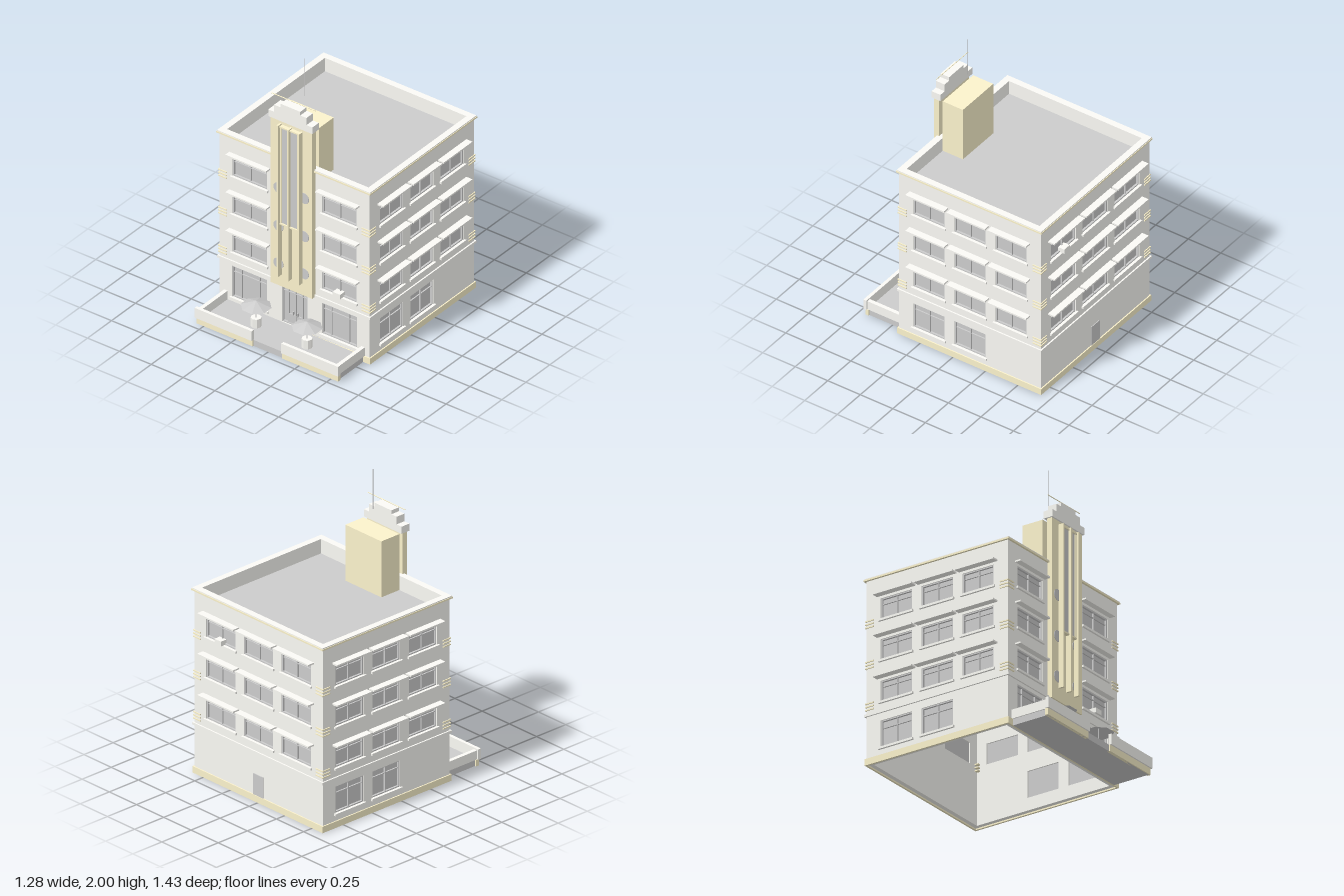
import * as THREE from 'three';

const grey = new THREE.MeshStandardMaterial({ color: 0xcccccc, flatShading: true });
const plaster = new THREE.MeshStandardMaterial({ color: 0xfbfaf5, flatShading: true });
const cream = new THREE.MeshStandardMaterial({ color: 0xfbf2cc, flatShading: true });

const W = 0.59, D = 0.545, T = 0.035;      // half width, half depth, wall thickness
const FLOORS = [0.415, 0.703, 0.985];      // sill heights of the upper floors

function add(parent, name, geometry, material) {
  const m = new THREE.Mesh(geometry, material);
  m.name = name;
  parent.add(m);
  return m;
}

// Box given by its lower and upper limits on each axis
function box(parent, name, x0, x1, y0, y1, z0, z1, material) {
  const m = add(parent, name, new THREE.BoxGeometry(x1 - x0, y1 - y0, z1 - z0), material);
  m.position.set((x0 + x1) / 2, (y0 + y1) / 2, (z0 + z1) / 2);
  return m;
}

function rod(parent, name, rTop, rBottom, h, x, y, z, sides, material) {
  const m = add(parent, name, new THREE.CylinderGeometry(rTop, rBottom, h, sides), material);
  m.position.set(x, y, z);
  return m;
}

function rect(path, x0, x1, y0, y1) {
  path.moveTo(x0, y0);
  path.lineTo(x1, y0);
  path.lineTo(x1, y1);
  path.lineTo(x0, y1);
  path.closePath();
  return path;
}

// Horizontal ring following the outside of the house
function ring(parent, name, out, inset, y0, y1, material) {
  const s = rect(new THREE.Shape(), -W - out, W + out, -D - out, D + out);
  s.holes.push(rect(new THREE.Path(), -W + inset, W - inset, -D + inset, D - inset));
  const g = new THREE.ExtrudeGeometry(s, { depth: y1 - y0, bevelEnabled: false });
  g.rotateX(-Math.PI / 2);
  add(parent, name, g, material).position.y = y0;
}

// Glass and frame filling one opening; cols and bar give the panes
function windowUnit(parent, o) {
  const g = new THREE.Group();
  g.name = o.door ? 'entrance' : 'window';
  parent.add(g);
  const { x, w, y, h } = o, f = 0.008, x0 = x - w / 2, x1 = x + w / 2;
  box(g, 'glass', x0, x1, y, y + h, -0.026, -0.02, grey);
  const s = rect(new THREE.Shape(), x0, x1, y, y + h);
  s.holes.push(rect(new THREE.Path(), x0 + f, x1 - f, y + f, y + h - f));
  add(g, 'frame', new THREE.ExtrudeGeometry(s, { depth: 0.014, bevelEnabled: false }), grey).position.z = -0.02;
  for (const c of o.cols ?? [0]) box(g, 'mullion', x + c - 0.003, x + c + 0.003, y, y + h, -0.02, -0.01, grey);
  const bar = y + h * (o.bar ?? 0.72);
  box(g, 'transom', x0, x1, bar - 0.003, bar + 0.003, -0.02, -0.011, grey);
  if (!o.door) box(g, 'sill', x0 - 0.012, x1 + 0.012, y - 0.015, y, -0.01, 0.014, plaster);
  if (o.awning) box(g, 'canopy', x - o.awning / 2, x + o.awning / 2, y + h + 0.017, y + h + 0.028, -0.01, o.reach, plaster);
}

// Wall with openings, its outer face on local z = 0
function facade(parent, name, angle, half, distance, openings) {
  const g = new THREE.Group();
  g.name = name;
  g.rotation.y = angle;
  g.position.set(Math.sin(angle) * distance, 0, Math.cos(angle) * distance);
  parent.add(g);
  const s = rect(new THREE.Shape(), -half, half, 0.01, 1.275);
  for (const o of openings) {
    s.holes.push(rect(new THREE.Path(), o.x - o.w / 2, o.x + o.w / 2, o.y, o.y + o.h));
    windowUnit(g, o);
  }
  add(g, 'wall', new THREE.ExtrudeGeometry(s, { depth: T, bevelEnabled: false }), plaster).position.z = -T;
  return g;
}

const rows = (xs, w, awning, reach) =>
  FLOORS.flatMap(y => xs.map(x => ({ x, w, y, h: 0.143, awning, reach })));

function airConditioner(parent, x, y) {
  box(parent, 'airConditioner', x - 0.03, x + 0.03, y, y + 0.033, -0.02, 0.028, plaster);
}

function buildHouse(root) {
  const house = new THREE.Group();
  house.name = 'house';
  house.position.z = -0.125;
  root.add(house);

  const shop = [-0.352, 0.352].map(x => ({ x, w: 0.275, y: 0.08, h: 0.23, cols: [-0.07, 0.07], bar: 0.8 }));
  const entrance = { x: 0, w: 0.2, y: 0.047, h: 0.28, cols: [-0.055, 0, 0.055], bar: 0.84, door: true };
  const front = facade(house, 'frontFacade', 0, W, D, [...rows([-0.352, 0.352], 0.27, 0.32, 0.042), ...shop, entrance]);
  for (const x of [-0.028, 0.028]) box(front, 'doorLeaf', x - 0.023, x + 0.023, 0.05, 0.12, -0.02, -0.012, grey);
  for (const x of [-0.018, 0.018]) box(front, 'doorHandle', x - 0.003, x + 0.003, 0.12, 0.145, -0.02, -0.005, grey);
  airConditioner(front, 0.35, 0.415);

  const back = facade(house, 'backFacade', Math.PI, W, D, rows([-0.345, 0, 0.345], 0.27, 0.33, 0.05));
  airConditioner(back, -0.345, 0.985);
  box(back, 'backDoor', -0.045, 0.045, 0.045, 0.19, -0.01, 0.005, grey);

  for (const side of [1, -1]) {
    facade(house, side > 0 ? 'leftFacade' : 'rightFacade', side * Math.PI / 2, D - T, W, [
      ...rows([-0.315, 0, 0.315], 0.24, 0.297, 0.048),
      ...[-0.315, 0].map(x => ({ x, w: 0.24, y: 0.098, h: 0.185 })),
    ]);
  }

  // Bands round the house, parapet cap and roof
  ring(house, 'plinth', 0.008, 0.005, 0, 0.045, cream);
  ring(house, 'stringCourse', 0.01, 0.01, 0.335, 0.352, plaster);
  ring(house, 'parapetTrim', 0.014, 0.01, 1.272, 1.283, cream);
  ring(house, 'parapetCap', 0.01, T, 1.275, 1.29, plaster);
  box(house, 'roof', -W + T, W - T, 1.17, 1.19, -D + T, D - T, grey);

  // Three thin stripes wrapped round each corner at every upper floor
  for (const y of FLOORS) for (const dy of [-0.034, -0.012, 0.01])
    for (const sx of [-1, 1]) for (const sz of [-1, 1]) {
      const m = add(house, 'cornerStripe', new THREE.BoxGeometry(0.066, 0.008, 0.066), cream);
      m.position.set(sx * (W - 0.027), y + dy, sz * (D - 0.027));
    }
}

function buildTower(root) {
  const tower = new THREE.Group();
  tower.name = 'tower';
  root.add(tower);
  box(tower, 'towerSlab', -0.163, 0.163, 0.335, 1.58, 0.415, 0.453, cream);
  box(tower, 'stairHouse', -0.165, 0.165, 1.18, 1.58, 0.23, 0.385, cream);

  // Stepped crown
  const half = [0.173, 0.127, 0.078], ys = [1.58, 1.63, 1.683, 1.71];
  half.forEach((w, i) => box(tower, 'crownStep', -w, w, ys[i], ys[i + 1], 0.397, 0.464, plaster));

  // Tall stair window with a projecting surround, and vertical fins
  for (const s of [-1, 1]) box(tower, 'windowJamb', s * 0.067 - 0.006, s * 0.067 + 0.006, 0.82, 1.545, 0.45, 0.475, cream);
  box(tower, 'windowHead', -0.073, 0.073, 1.54, 1.55, 0.45, 0.48, cream);
  box(tower, 'windowSill', -0.073, 0.073, 0.815, 0.825, 0.45, 0.48, cream);
  box(tower, 'stairWindow', -0.062, 0.062, 0.82, 1.54, 0.45, 0.47, grey);
  for (const x of [-0.082, 0, 0.082]) box(tower, 'fin', x - 0.007, x + 0.007, 0.425, 1.557, 0.45, 0.49, cream);
  for (const y of [0.5, 0.78, 1.065]) for (const x of [-0.1, 0.1])
    rod(tower, 'porthole', 0.039, 0.039, 0.006, x, y, 0.453, 24, grey).rotation.x = Math.PI / 2;

  rod(tower, 'mast', 0.002, 0.002, 0.28, 0, 1.86, 0.313, 6, grey);
  rod(tower, 'crossbar', 0.003, 0.003, 0.345, 0, 1.737, 0.43, 6, cream).rotation.z = Math.PI / 2;
}

function buildTerrace(root) {
  const terrace = new THREE.Group();
  terrace.name = 'terrace';
  root.add(terrace);
  box(terrace, 'terraceFloor', -0.545, 0.545, 0, 0.045, 0.42, 0.695, grey);
  for (const s of [-1, 1]) {
    const span = (a, b) => s > 0 ? [a, b] : [-b, -a];
    box(terrace, 'sideWall', ...span(0.525, 0.552), 0.045, 0.108, 0.42, 0.695, plaster);
    box(terrace, 'frontWall', ...span(0.116, 0.563), 0.045, 0.118, 0.69, 0.713, plaster);
    box(terrace, 'frontPlinth', ...span(0.116, 0.555), 0, 0.045, 0.68, 0.703, cream);

    // Round table under a parasol
    rod(terrace, 'table', 0.035, 0.035, 0.065, s * 0.2, 0.0775, 0.555, 8, plaster);
    rod(terrace, 'parasolPole', 0.004, 0.004, 0.12, s * 0.2, 0.165, 0.555, 6, grey);
    const canopy = new THREE.Mesh(new THREE.ConeGeometry(0.1, 0.04, 8, 1, true), grey.clone());
    canopy.material.side = THREE.DoubleSide;
    canopy.name = 'parasol';
    canopy.position.set(s * 0.2, 0.213, 0.555);
    canopy.rotation.y = Math.PI / 8;
    terrace.add(canopy);
  }
}

export function createModel() {
  const root = new THREE.Group();
  root.name = 'building';
  buildHouse(root);
  buildTower(root);
  buildTerrace(root);
  return root;
}
